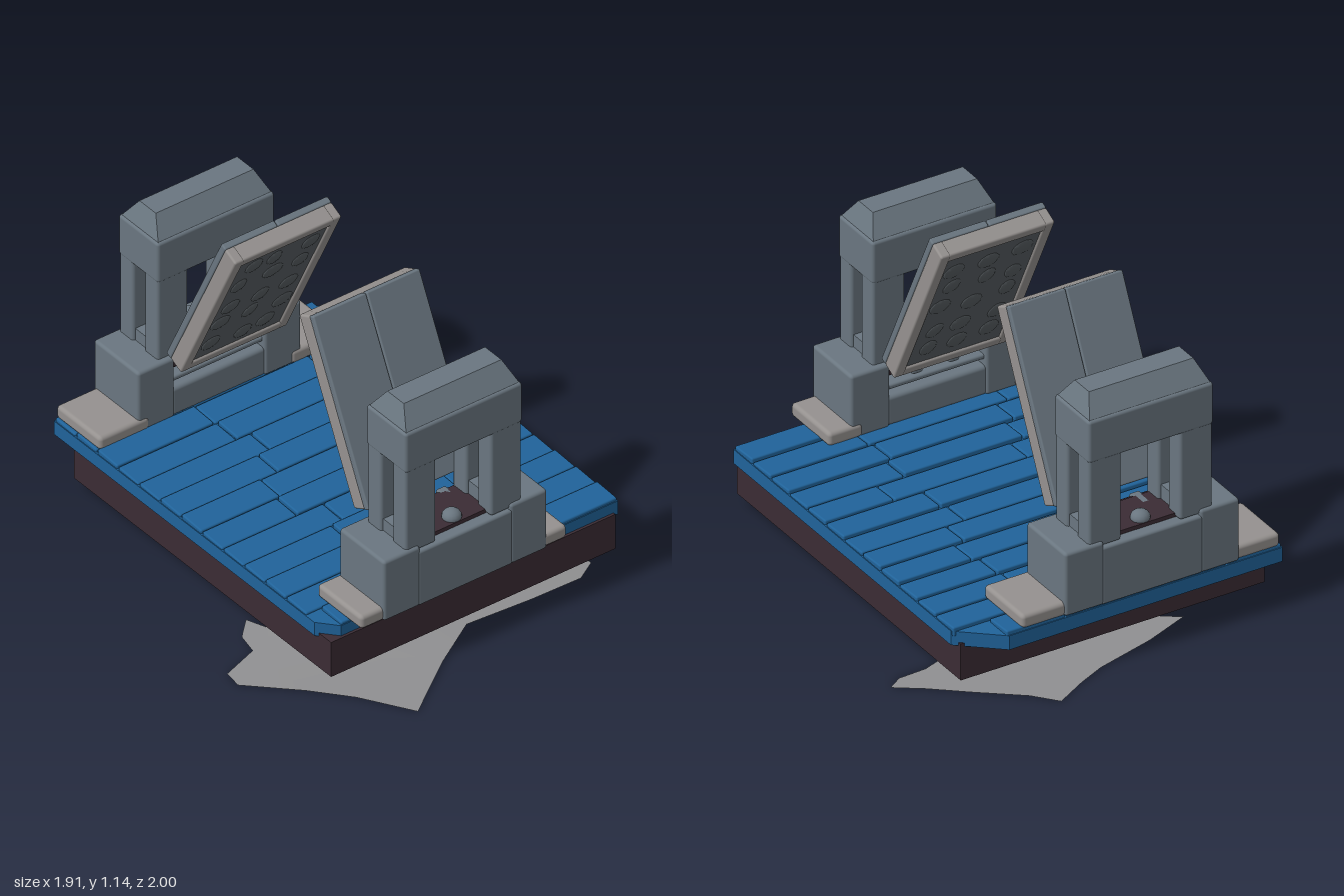
import * as THREE from 'three';
import { RoundedBoxGeometry } from 'three/addons/geometries/RoundedBoxGeometry.js';

const mat = (name, color, side = THREE.FrontSide) => {
  const m = new THREE.MeshStandardMaterial({ color, side });
  m.name = name;
  return m;
};

export function createModel() {
  const stone = mat('greyStone', 0x6a7680);
  const paleStone = mat('paleStone', 0x95918f);
  const darkStone = mat('darkStone', 0x565c60);
  const blue = mat('bluePlanks', 0x20639a);
  const brown = mat('darkBrown', 0x3b2c34);
  const ground = mat('groundGrey', 0x8f8f91, THREE.DoubleSide);

  const model = new THREE.Group();
  model.name = 'drawbridge';
  const body = new THREE.Group();
  body.name = 'bridgeAndDeck';
  body.rotation.y = 0.701; // the deck stands diagonally
  model.add(body);

  let seed = 7;
  const rand = () => (seed = (seed * 16807) % 2147483647) / 2147483647;

  const add = (parent, name, geo, material, x = 0, y = 0, z = 0) => {
    const mesh = new THREE.Mesh(geo, material);
    mesh.name = name;
    mesh.position.set(x, y, z);
    parent.add(mesh);
    return mesh;
  };
  // box given by its limits on each axis, with softened edges when r > 0
  const block = (parent, name, m, x0, x1, y0, y1, z0, z1, r = 0) => {
    const s = [x1 - x0, y1 - y0, z1 - z0];
    const geo = r ? new RoundedBoxGeometry(...s, 2, r) : new THREE.BoxGeometry(...s);
    return add(parent, name, geo, m, (x0 + x1) / 2, (y0 + y1) / 2, (z0 + z1) / 2);
  };

  // Deck: brown slab, stone underside, blue planks
  block(body, 'slab', brown, -0.54, 0.66, 0.042, 0.185, -0.73, 0.69);
  block(body, 'slabUnderside', darkStone, -0.53, 0.65, 0.037, 0.043, -0.72, 0.68);

  const outline = [[-0.55, -0.83], [0.53, -0.83], [0.68, -0.7], [0.68, 0.68], [-0.49, 0.68], [-0.55, 0.61]];
  const deckShape = new THREE.Shape(outline.map(([x, z]) => new THREE.Vector2(x, -z)));
  const deckGeo = new THREE.ExtrudeGeometry(deckShape, { depth: 0.055, bevelEnabled: false });
  deckGeo.rotateX(-Math.PI / 2);
  add(body, 'deck', deckGeo, blue, 0, 0.172, 0);

  const rows = 13, rowDepth = 1.51 / rows;
  for (let i = 0; i < rows; i++) {
    const z0 = -0.83 + i * rowDepth;
    const left = i === rows - 1 ? -0.49 : -0.55;
    const right = i === 0 ? 0.54 : 0.68;
    const cut1 = left + (right - left) * (0.2 + 0.2 * rand());
    const cut2 = left + (right - left) * (0.6 + 0.2 * rand());
    const cuts = [left, cut1, cut2, right];
    for (let j = 0; j < 3; j++) {
      const top = 0.236 + 0.008 * rand();
      const plank = block(body, 'plank', blue, cuts[j] + 0.003, cuts[j + 1] - 0.003,
        0.205, top, z0 + 0.003, z0 + rowDepth - 0.003, 0.006);
      plank.rotation.x = 0.05;
    }
  }

  // One raised bridge leaf, leaning away from its tower
  const makeLeaf = () => {
    const leaf = new THREE.Group();
    leaf.name = 'bridgeLeaf';
    const w = 0.225, h = 0.35;
    for (const s of [-1, 1]) {
      block(leaf, 'leafSideRim', paleStone, s * (w - 0.02) - 0.02, s * (w - 0.02) + 0.02, -h, h, -0.045, 0.02, 0.008);
      block(leaf, 'leafEndRim', paleStone, -w + 0.03, w - 0.03, s * (h - 0.02) - 0.02, s * (h - 0.02) + 0.02, -0.045, 0.02, 0.008);
      block(leaf, 'leafSlab', stone, s > 0 ? 0.0015 : -w, s > 0 ? w : -0.0015, -h, h, 0.018, 0.045, 0.006);
    }
    block(leaf, 'leafPanel', darkStone, -w + 0.03, w - 0.03, -h + 0.03, h - 0.03, -0.036, 0.019);
    // low cobbles on the underside
    for (let i = 0; i < 15; i++) {
      const x = ((i % 3) - 1) * 0.12 + (rand() - 0.5) * 0.04;
      const y = (Math.floor(i / 3) - 2) * 0.12 + (rand() - 0.5) * 0.04;
      const cobble = add(leaf, 'cobble', new THREE.SphereGeometry(1, 10, 6), darkStone, x, y, -0.035);
      cobble.scale.set(0.03 + 0.015 * rand(), 0.04, 0.008);
      cobble.rotation.z = rand() - 0.5;
    }
    return leaf;
  };

  // Gate tower, local +z pointing away from the middle of the bridge
  const makeTower = (name, footHalf) => {
    const t = new THREE.Group();
    t.name = name;
    for (const s of [-1, 1]) {
      const span = (a, b) => (s > 0 ? [a, b] : [-b, -a]);
      block(t, 'footStone', paleStone, ...span(0.3, footHalf), 0.235, 0.288, -0.135, 0.11, 0.015);
      block(t, 'baseEnd', stone, ...span(0.19, 0.345), 0.235, 0.482, -0.13, 0.118, 0.012);
      // corner posts with a slot between them
      for (const e of [-1, 1]) {
        const z0 = e > 0 ? 0.03 : -0.107;
        block(t, 'post', stone, ...span(0.115, 0.245), 0.46, 0.84, z0, z0 + 0.077, 0.012);
      }
      block(t, 'slotSill', stone, ...span(0.125, 0.235), 0.47, 0.53, -0.09, 0.09);
      block(t, 'slotBar', stone, ...span(0.17, 0.185), 0.5, 0.82, -0.008, 0.008);
      // bracket holding the axle
      block(t, 'hingeBracket', stone, ...span(0.05, 0.095), 0.4, 0.475, -0.12, -0.03, 0.012);
    }
    block(t, 'baseMiddle', stone, -0.2, 0.2, 0.235, 0.46, -0.06, 0.118, 0.01);
    block(t, 'baseLedge', stone, -0.2, 0.2, 0.235, 0.35, -0.125, 0, 0.015);
    block(t, 'baseLip', stone, -0.2, 0.2, 0.37, 0.39, -0.115, 0, 0.008);
    block(t, 'gateFloor', brown, -0.125, 0.125, 0.45, 0.475, -0.09, 0.075);
    const axle = add(t, 'axle', new THREE.CylinderGeometry(0.028, 0.028, 0.4, 14), brown, 0, 0.445, -0.09);
    axle.rotation.z = Math.PI / 2;
    const knob = add(t, 'gateKnob', new THREE.SphereGeometry(0.035, 14, 10), stone, 0, 0.48, 0.04);
    knob.scale.y = 0.8;

    block(t, 'lintel', stone, -0.247, 0.247, 0.8, 0.965, -0.11, 0.11, 0.012);
    // hipped cap: a box whose top face is drawn in
    const capGeo = new THREE.BoxGeometry(0.485, 0.085, 0.215).toNonIndexed();
    const p = capGeo.attributes.position;
    for (let i = 0; i < p.count; i++) {
      if (p.getY(i) > 0) p.setXYZ(i, p.getX(i) * 0.85, p.getY(i), p.getZ(i) * 0.42);
    }
    capGeo.computeVertexNormals();
    add(t, 'roofCap', capGeo, stone, 0, 0.9975, 0);

    const leaf = makeLeaf();
    leaf.position.set(-0.005, 0.805, -0.312);
    leaf.rotation.x = -0.45;
    t.add(leaf);
    return t;
  };

  const frontTower = makeTower('frontTower', 0.435);
  frontTower.position.set(-0.025, 0, 0.642);
  const backTower = makeTower('backTower', 0.51);
  backTower.position.set(-0.03, 0, -0.722);
  backTower.rotation.y = Math.PI;
  body.add(frontTower, backTower);

  // Thin ground patches, rising slightly towards the slab
  const patch = (name, points) => {
    const shape = new THREE.Shape(points.map(([x, z]) => new THREE.Vector2(x, -z)));
    const geo = new THREE.ShapeGeometry(shape);
    geo.rotateX(-Math.PI / 2);
    const p = geo.attributes.position;
    for (let i = 0; i < p.count; i++) {
      const r = Math.hypot(p.getX(i), p.getZ(i));
      p.setY(i, THREE.MathUtils.clamp(0.033 * (1 - (r - 0.5) / 0.4), 0, 0.033));
    }
    geo.computeVertexNormals();
    add(model, name, geo, ground);
  };
  patch('frontGround', [[-0.27, 0.54], [-0.28, 0.63], [-0.24, 0.7], [-0.32, 0.82], [-0.28, 0.88], [-0.05, 0.9],
    [0.12, 0.93], [0.33, 1], [0.4, 0.72], [0.47, 0.52], [0.68, 0.36], [0.84, 0.22], [0.87, 0.13], [0.8, 0.06],
    [0.55, 0.28], [0.35, 0.5], [0.05, 0.66], [-0.12, 0.62]]);
  patch('backGround', [[-0.31, -1], [-0.2, -0.98], [0, -0.985], [0.15, -0.985], [0.27, -0.995], [0.25, -0.93],
    [0.17, -0.86], [0.1, -0.76], [-0.05, -0.72], [-0.25, -0.62], [-0.45, -0.45], [-0.64, -0.42],
    [-0.55, -0.58], [-0.41, -0.77], [-0.36, -0.87]]);

  return model;
}
